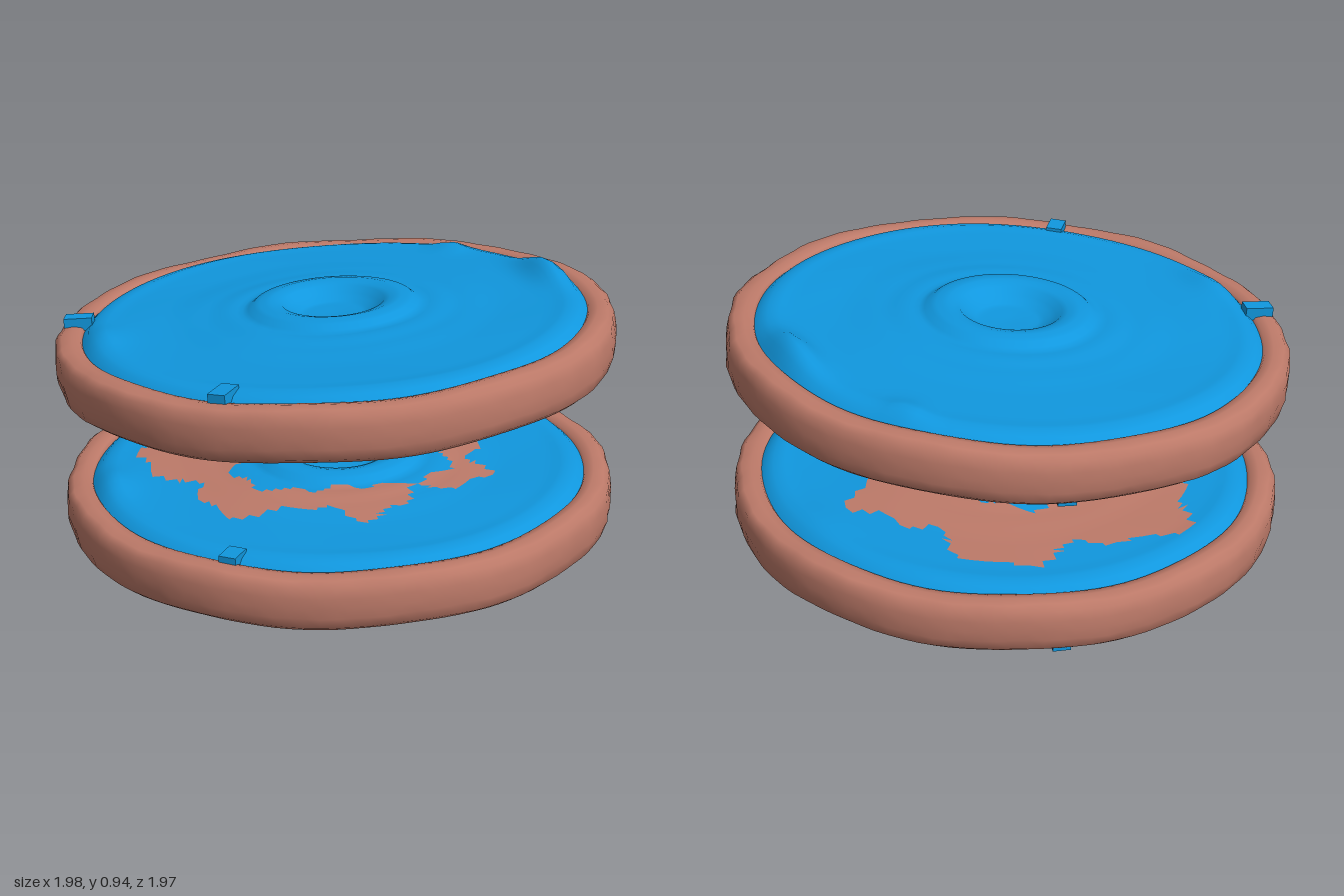
import * as THREE from 'three';
import { mergeVertices } from 'three/addons/utils/BufferGeometryUtils.js';

const blue = new THREE.MeshStandardMaterial({ color: 0x1097de });
blue.name = 'blue disc';
const brown = new THREE.MeshStandardMaterial({ color: 0xbd7a69 });
brown.name = 'terracotta rim';

// Height of a disc face by radius: central dish, raised hub ring, shallow plate, rounded edge
const profile = [
  [0, 0.082], [0.11, 0.086], [0.15, 0.105], [0.19, 0.135], [0.23, 0.143], [0.28, 0.135], [0.31, 0.113],
  [0.36, 0.115], [0.45, 0.107], [0.6, 0.1], [0.76, 0.1], [0.82, 0.104], [0.86, 0.094], [0.9, 0.06],
];
function height(r) {
  for (let i = 1; i < profile.length; i++) {
    const [r0, h0] = profile[i - 1], [r1, h1] = profile[i];
    if (r <= r1) return h0 + (h1 - h0) * THREE.MathUtils.smoothstep(r, r0, r1);
  }
  return profile.at(-1)[1];
}

// Lathe with welded seam, each vertex moved by a rule
function shapedLathe(points, segments, move) {
  let geo = new THREE.LatheGeometry(points, segments);
  geo.deleteAttribute('uv');
  geo.deleteAttribute('normal');
  geo = mergeVertices(geo, 1e-4);
  const p = geo.attributes.position, v = new THREE.Vector3();
  for (let i = 0; i < p.count; i++) {
    move(v.fromBufferAttribute(p, i));
    p.setXYZ(i, v.x, v.y, v.z);
  }
  geo.computeVertexNormals();
  return geo;
}

// One face of a disc; lumps are [x, z, added height, spread]
function discFace(name, lumps, patchy, side) {
  const points = [];
  for (let i = 45; i >= 0; i--) points.push(new THREE.Vector2(i * 0.02, height(i * 0.02)));
  const geo = shapedLathe(points, 96, (v) => {
    const a = Math.atan2(v.z, v.x), r = Math.hypot(v.x, v.z);
    if (r > 0.32) v.y += 0.003 * Math.sin(5 * a + 9 * r) * r;
    for (const [x, z, h, s] of lumps) {
      const la = Math.atan2(z * side, x), lr = Math.hypot(x, z);
      const da = Math.atan2(Math.sin(a - la), Math.cos(a - la)) * lr;
      v.y += h * Math.exp(-((da / s) ** 2) - ((r - lr) / 0.07) ** 2);
    }
  });
  // Irregular worn ring on the inner faces
  if (patchy) {
    const p = geo.attributes.position, src = geo.index.array, groups = [[], []];
    for (let i = 0; i < src.length; i += 3) {
      let x = 0, z = 0;
      for (let k = 0; k < 3; k++) {
        x += p.getX(src[i + k]) / 3;
        z += p.getZ(src[i + k]) / 3;
      }
      z *= side;
      const a = Math.atan2(z, x), r = Math.hypot(x, z);
      const outer = 0.6 - 0.12 * Math.cos(a - Math.PI / 4) + 0.06 * Math.sin(7 * a) + 0.03 * Math.sin(17 * a);
      const inner = 0.36 + 0.05 * Math.sin(3 * a + 1) + 0.02 * Math.sin(13 * a);
      groups[r > inner && r < outer ? 1 : 0].push(src[i], src[i + 1], src[i + 2]);
    }
    geo.setIndex([...groups[0], ...groups[1]]);
    geo.addGroup(0, groups[0].length, 0);
    geo.addGroup(groups[0].length, groups[1].length, 1);
  }
  const mesh = new THREE.Mesh(geo, patchy ? [blue, brown] : blue);
  mesh.name = name;
  if (side < 0) mesh.rotation.x = Math.PI;
  return mesh;
}

// Thick rounded rim with a slightly dented surface
function rim(seed) {
  const points = [
    [0.875, -0.06], [0.89, -0.084], [0.92, -0.09], [0.955, -0.086], [0.975, -0.07], [0.982, -0.035], [0.984, 0],
    [0.982, 0.035], [0.975, 0.07], [0.955, 0.086], [0.92, 0.09], [0.89, 0.084], [0.875, 0.06], [0.875, -0.06],
  ].map(([r, y]) => new THREE.Vector2(r, y));
  const geo = shapedLathe(points, 120, (v) => {
    const a = Math.atan2(v.z, v.x);
    const dent = Math.sin(11 * a + seed) * Math.sin(23 * a + 40 * v.y) * Math.cos(30 * v.y + seed);
    if (Math.hypot(v.x, v.z) > 0.95) {
      v.x *= 1 + 0.007 * dent;
      v.z *= 1 + 0.007 * dent;
    }
    v.y += 0.004 * Math.sin(9 * a + seed);
  });
  const mesh = new THREE.Mesh(geo, brown);
  mesh.name = 'rim';
  return mesh;
}

// Small tab that overlaps the rim
function tab(x, z, y, length) {
  const mesh = new THREE.Mesh(new THREE.BoxGeometry(length, 0.045, 0.06), blue);
  mesh.name = 'rimTab';
  mesh.position.set(x, y, z);
  mesh.rotation.y = -Math.atan2(z, x);
  return mesh;
}

function disc(name, seed, topLumps, bottomLumps, innerIsTop) {
  const group = new THREE.Group();
  group.name = name;
  group.add(
    rim(seed),
    discFace('topFace', topLumps, innerIsTop, 1),
    discFace('bottomFace', bottomLumps, !innerIsTop, -1),
  );
  return group;
}

export function createModel() {
  const model = new THREE.Group();
  model.name = 'pairOfDiscs';

  const upper = disc('upperDisc', 1,
    [[0.7, -0.42, 0.058, 0.16], [-0.72, 0.36, 0.02, 0.12], [0.3, -0.76, 0.02, 0.06]],
    [[-0.74, -0.38, 0.045, 0.13], [0.75, 0.3, 0.015, 0.12]], false);
  upper.add(tab(-0.885, 0.18, 0.1, 0.1), tab(-0.16, 0.85, 0.092, 0.1), tab(-0.2, -0.86, -0.09, 0.1));
  upper.position.set(-0.008, 0.735, 0);
  upper.rotation.set(0.014, 0, 0.06);

  const lower = disc('lowerDisc', 4,
    [[-0.72, 0.38, 0.025, 0.12], [0.6, -0.5, 0.01, 0.14]],
    [[-0.7, -0.42, 0.055, 0.14], [0.72, 0.35, 0.03, 0.12], [-0.35, 0.72, 0.025, 0.12]], true);
  lower.add(tab(-0.16, 0.85, 0.09, 0.08), tab(-0.2, -0.86, -0.09, 0.1));
  lower.position.set(0.005, 0.175, 0);
  lower.rotation.set(0.014, 0, 0.02);

  model.add(upper, lower);
  return model;
}
